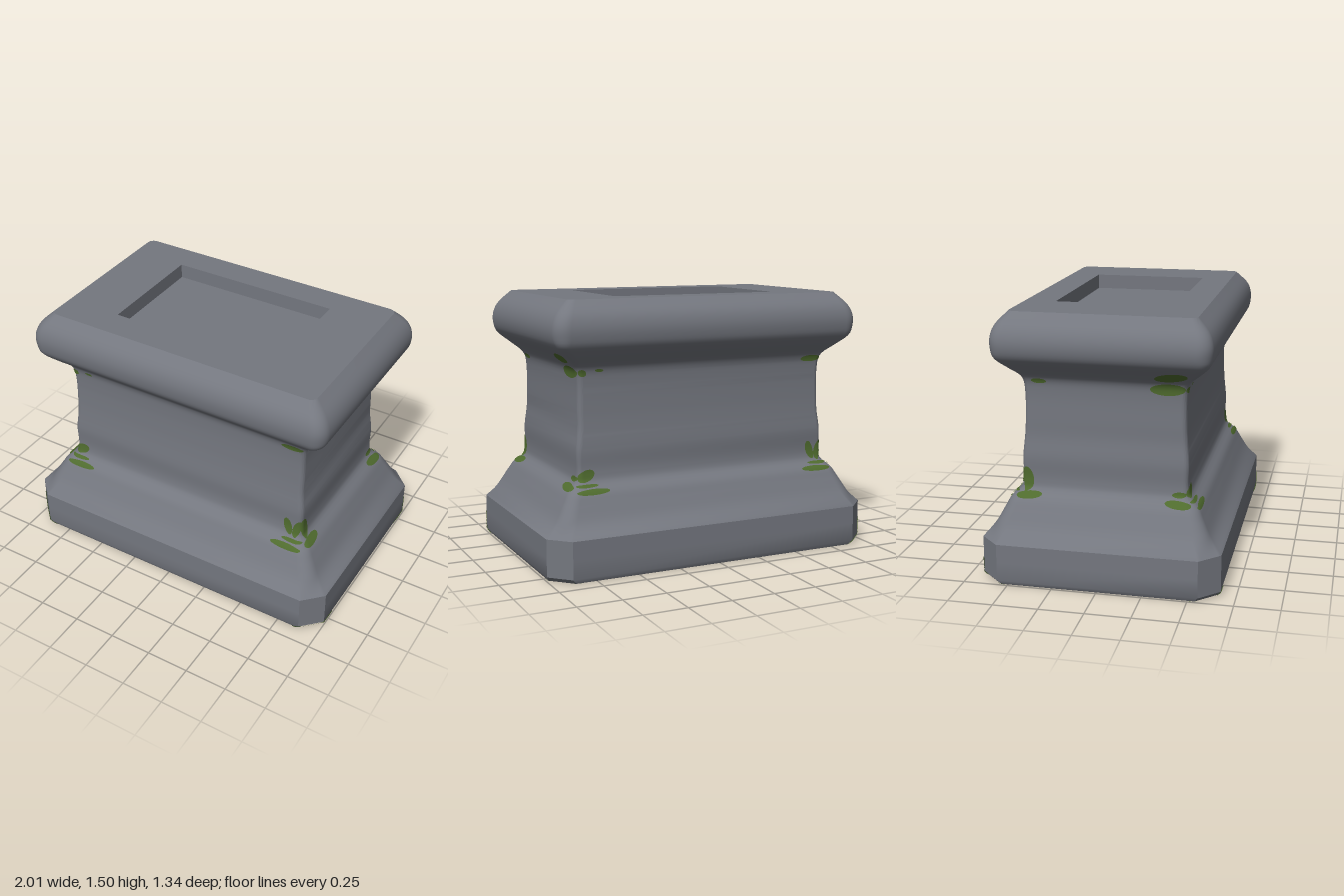
import * as THREE from 'three';
import { toCreasedNormals } from 'three/addons/utils/BufferGeometryUtils.js';

const HEIGHT = 1.5, RECESS = 0.085, PLINTH = 0.235;

// Profile rows: y, half width, half depth, corner size
const BASE = [[0, 0.985, 0.655, 0.115], [0.025, 1, 0.667, 0.11], [PLINTH, 1, 0.667, 0.11]];
const BODY = [
  [PLINTH, 1, 0.667, 0.11], [0.31, 0.93, 0.605, 0.09], [0.40, 0.875, 0.555, 0.07],
  [0.455, 0.84, 0.525, 0.06], [0.50, 0.79, 0.478, 0.04], [0.54, 0.78, 0.466, 0.03],
  [0.68, 0.78, 0.465, 0.03], [0.80, 0.767, 0.455, 0.03], [0.88, 0.766, 0.45, 0.03],
  [1.06, 0.766, 0.45, 0.03], [1.11, 0.773, 0.456, 0.03], [1.14, 0.79, 0.47, 0.035],
  [1.19, 0.845, 0.525, 0.045], [1.25, 0.912, 0.582, 0.06], [1.30, 0.934, 0.598, 0.08],
  [1.37, 0.933, 0.598, 0.08], [1.43, 0.905, 0.575, 0.07], [HEIGHT, 0.835, 0.51, 0.04],
];
const curve = new THREE.CubicInterpolant(
  BODY.map(r => r[0]), BODY.flatMap(r => r.slice(1)), 3, new Float32Array(3));

// Half width, half depth and corner size at a height
function sizeAt(y) {
  if (y > PLINTH) return [...curve.evaluate(Math.min(y, HEIGHT))];
  const i = y < BASE[1][0] ? 0 : 1;
  const t = (y - BASE[i][0]) / (BASE[i + 1][0] - BASE[i][0]);
  return [1, 2, 3].map(k => THREE.MathUtils.lerp(BASE[i][k], BASE[i + 1][k], t));
}

// Point near the front left corner; s is the distance around it (negative on the front)
function surfacePoint(s, y) {
  const [a, b, c] = sizeAt(y), h = c * Math.PI / 4;
  if (s < -h) return new THREE.Vector3(a - c + s + h, y, b);
  if (s > h) return new THREE.Vector3(a, y, b - c - s + h);
  const t = (s / h + 1) / 2, ang = t * Math.PI / 2;
  // flat chamfer on the plinth, easing to a round corner above
  const round = THREE.MathUtils.smoothstep(y, PLINTH, 0.34);
  return new THREE.Vector3(
    a - c + c * THREE.MathUtils.lerp(t, Math.sin(ang), round), y,
    b - c + c * THREE.MathUtils.lerp(1 - t, Math.cos(ang), round));
}

// Closed outline at one height, running front, left, back, right
function ringAt(y) {
  const h = sizeAt(y)[2] * Math.PI / 4, n = 8, ring = [];
  for (const [sx, sz] of [[1, 1], [1, -1], [-1, -1], [-1, 1]]) {
    for (let i = 0; i <= n; i++) {
      const s = (i / n * 2 - 1) * h * sx * sz;
      const p = surfacePoint(s, y);
      ring.push(new THREE.Vector3(p.x * sx, y, p.z * sz));
    }
  }
  return ring;
}

function indexed(points, index) {
  const g = new THREE.BufferGeometry().setFromPoints(points);
  g.setIndex(index);
  return g;
}

function bodyGeometry() {
  const ys = [0, 0.025, 0.13, PLINTH], steps = 80;
  for (let i = 1; i <= steps; i++) ys.push(PLINTH + (HEIGHT - PLINTH) * i / steps);
  const rings = ys.map(ringAt), n = rings[0].length, index = [];
  for (let j = 0; j < ys.length - 1; j++) {
    for (let i = 0; i < n; i++) {
      const p = j * n + i, q = j * n + (i + 1) % n;
      index.push(p, q, q + n, p, q + n, p + n);
    }
  }
  return toCreasedNormals(indexed(rings.flat(), index), 0.6);
}

// Thin moss patch that follows the surface, filled from its centre to an outline
function mossGeometry(outline, centre, sx, sz) {
  const rings = 9, n = outline.length, points = [], index = [];
  for (let r = 0; r <= rings; r++) {
    for (const o of outline) {
      const s = THREE.MathUtils.lerp(centre[0], o[0], r / rings);
      const y = Math.max(0.003, THREE.MathUtils.lerp(centre[1], o[1], r / rings));
      const p = surfacePoint(s, y), e = 0.003;
      const du = surfacePoint(s + e, y).sub(surfacePoint(s - e, y));
      const dv = surfacePoint(s, y + e).sub(surfacePoint(s, y - e + 0.0001));
      p.addScaledVector(du.cross(dv).normalize(), 0.004);
      points.push(new THREE.Vector3(p.x * sx, p.y, p.z * sz));
    }
  }
  for (let r = 0; r < rings; r++) {
    for (let i = 0; i < n; i++) {
      const p = r * n + i, q = r * n + (i + 1) % n;
      const tris = r ? [p, p + n, q + n, p, q + n, q] : [p, p + n, q + n];
      index.push(...(sx * sz > 0 ? tris : tris.reverse()));
    }
  }
  const g = indexed(points, index);
  g.computeVertexNormals();
  return g;
}

function ellipse([s, y, rs, ry, tilt = 0]) {
  return Array.from({ length: 28 }, (_, i) => {
    const a = i / 28 * Math.PI * 2, u = rs * Math.cos(a), v = ry * Math.sin(a);
    return [s + u * Math.cos(tilt) - v * Math.sin(tilt), y + u * Math.sin(tilt) + v * Math.cos(tilt)];
  });
}

export function createModel() {
  const stone = new THREE.MeshStandardMaterial({ color: 0x74777f });
  stone.name = 'stone';
  const moss = new THREE.MeshStandardMaterial({ color: 0x4f6b2e });
  moss.name = 'moss';
  const model = new THREE.Group();
  model.name = 'pedestal';
  const add = (name, geometry, material) => {
    const mesh = new THREE.Mesh(geometry, material);
    mesh.name = name;
    model.add(mesh);
    return mesh;
  };

  // Moulded stone body
  add('body', bodyGeometry(), stone);

  // Top slab with a rectangular recess, its floor, and the underside
  const outlineShape = y => new THREE.Shape(ringAt(y).map(p => new THREE.Vector2(p.x, -p.z)));
  const top = outlineShape(HEIGHT);
  top.holes.push(new THREE.Path([[-0.5, -0.335], [-0.5, 0.335], [0.5, 0.335], [0.5, -0.335]]
    .map(p => new THREE.Vector2(...p))));
  const slab = new THREE.ExtrudeGeometry(top, { depth: RECESS, bevelEnabled: false });
  add('topSlab', slab.rotateX(-Math.PI / 2), stone).position.y = HEIGHT - RECESS;
  add('recessFloor', new THREE.PlaneGeometry(1, 0.67).rotateX(-Math.PI / 2), stone)
    .position.y = HEIGHT - RECESS;
  add('underside', new THREE.ShapeGeometry(outlineShape(0)).rotateX(Math.PI / 2), stone);

  // Moss creeping up each plinth corner
  const clump = new THREE.CatmullRomCurve3([
    [-0.2, 0], [-0.14, 0.05], [-0.09, 0.11], [-0.05, 0.145], [0, 0.15], [0.06, 0.15],
    [0.1, 0.12], [0.15, 0.06], [0.2, 0], [0, 0],
  ].map(([s, y]) => new THREE.Vector3(s, y, 0)), true).getPoints(60).slice(0, 60).map(p => [p.x, p.y]);

  // Moss spots: distance round the corner, height, radii, tilt
  const ledge = [[-0.115, 0.455, 0.095, 0.014], [-0.06, 0.483, 0.065, 0.008], [0.08, 0.472, 0.07, 0.018]];
  const mainCorner = [...ledge,
    [-0.075, 0.56, 0.025, 0.055, 0.25], [-0.02, 0.555, 0.022, 0.06, -0.3], [0.03, 0.555, 0.03, 0.07, 0.2],
    [-0.07, 1.112, 0.065, 0.02], [0.09, 1.115, 0.042, 0.015]];
  const otherCorner = [...ledge,
    [-0.04, 0.535, 0.05, 0.032, -0.4], [0.045, 0.518, 0.04, 0.016, -0.1],
    [0.1, 1.1, 0.095, 0.035], [0.13, 1.18, 0.085, 0.03],
    [-0.02, 1.1, 0.022, 0.02], [-0.12, 1.112, 0.024, 0.009]];

  for (const sx of [1, -1]) {
    for (const sz of [1, -1]) {
      add('cornerMoss', mossGeometry(clump, [0, 0.05], sx, sz), moss);
      for (const spot of sx === sz ? mainCorner : otherCorner) {
        add('mossSpot', mossGeometry(ellipse(spot), spot, sx, sz), moss);
      }
    }
  }
  return model;
}
